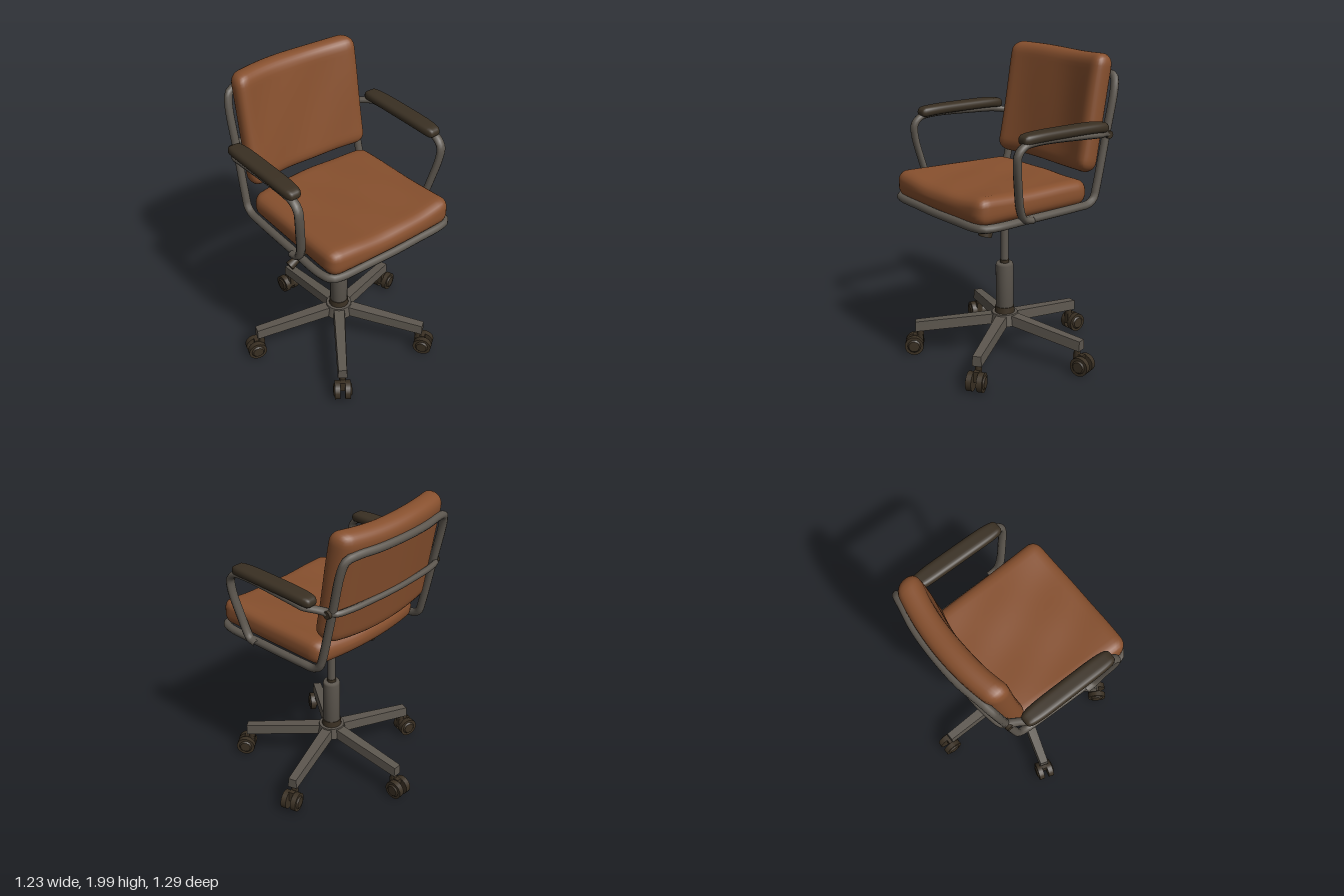
import * as THREE from 'three';
import { mergeVertices } from 'three/addons/utils/BufferGeometryUtils.js';

const mat = (name, color) => {
  const m = new THREE.MeshStandardMaterial({ color });
  m.name = name;
  return m;
};
const V = (x, y, z) => new THREE.Vector3(x, y, z);

export function createModel() {
  const leather = mat('brown leather', 0x87502e);
  const metal = mat('grey metal', 0x5c564e);
  const dark = mat('dark plastic', 0x3a3023);
  const chair = new THREE.Group();
  chair.name = 'officeChair';

  const add = (name, geo, material, parent = chair, x = 0, y = 0, z = 0) => {
    const m = new THREE.Mesh(geo, material);
    m.name = name;
    m.position.set(x, y, z);
    parent.add(m);
    return m;
  };

  // Move every vertex by a rule, then smooth the normals
  const bend = (geo, rule) => {
    geo.deleteAttribute('uv');
    geo.deleteAttribute('normal');
    const g = mergeVertices(geo, 1e-5);
    const p = g.attributes.position, v = V(0, 0, 0);
    for (let i = 0; i < p.count; i++) {
      v.fromBufferAttribute(p, i);
      rule(v);
      p.setXYZ(i, v.x, v.y, v.z);
    }
    g.computeVertexNormals();
    return g;
  };

  // Finely divided rounded box, shaped further by a rule
  const cushion = (w, h, d, r, seg, rule) =>
    bend(new THREE.BoxGeometry(w, h, d, ...seg), v => {
      const core = V(
        THREE.MathUtils.clamp(v.x, r - w / 2, w / 2 - r),
        THREE.MathUtils.clamp(v.y, r - h / 2, h / 2 - r),
        THREE.MathUtils.clamp(v.z, r - d / 2, d / 2 - r));
      v.sub(core).normalize().multiplyScalar(r).add(core);
      rule(v);
    });

  const curve = (pts, closed = false) => new THREE.CatmullRomCurve3(pts, closed, 'centripetal');

  // Rod between two points
  const rod = (name, a, b, ra, rb, material, sides = 16) => {
    const m = add(name, new THREE.CylinderGeometry(rb, ra, a.distanceTo(b), sides), material);
    m.position.copy(a).lerp(b, 0.5);
    m.quaternion.setFromUnitVectors(V(0, 1, 0), b.clone().sub(a).normalize());
    return m;
  };

  // Seat cushion: dips along the middle, rises to the front, bowed at the back
  add('seatCushion', cushion(0.84, 0.16, 0.92, 0.07, [30, 8, 30], v => {
    const t = v.x / 0.42, s = v.z / 0.46;
    if (v.y > 0) {
      v.y += 0.012 * t + 0.01 - 0.028 * (1 - s * s) * (0.6 + 0.4 * t);
      v.y += 0.004 * Math.sin(9 * v.x + 5 * v.z) * Math.sin(13 * v.z + 1);
    }
    if (t < 0) v.x += 0.05 * t * (1 - s * s);
    else v.x += 0.015 * t * (1 - s * s);
    v.z *= 1 + 0.02 * t;
  }), leather, chair, 0.155, 1.147, 0);

  // Back cushion: bowed to the rear and tilted
  const back = add('backCushion', cushion(0.155, 0.74, 0.89, 0.072, [8, 28, 32], v => {
    const s = v.z / 0.445;
    v.x += 0.03 - 0.06 * (1 - s * s);
    if (v.x > 0) v.x += 0.005 * Math.sin(14 * v.z + 3 * v.y) * Math.sin(6 * v.y + 1);
    v.y += 0.004 * Math.sin(8 * v.z);
  }), leather, chair, -0.365, 1.623, 0);
  back.rotation.z = THREE.MathUtils.degToRad(10);

  // One continuous frame around the back and under the seat
  const half = [
    [-0.515, 1.865, 0.2], [-0.485, 1.862, 0.36], [-0.47, 1.845, 0.43], [-0.452, 1.78, 0.452],
    [-0.39, 1.5, 0.456], [-0.315, 1.17, 0.46], [-0.295, 1.11, 0.462], [-0.25, 1.08, 0.464],
    [-0.15, 1.075, 0.468], [0.2, 1.072, 0.475], [0.48, 1.068, 0.475], [0.545, 1.066, 0.45],
    [0.565, 1.064, 0.39], [0.57, 1.062, 0.2],
  ];
  const loop = [V(-0.525, 1.866, 0), ...half.map(p => V(...p)), V(0.573, 1.06, 0),
    ...half.slice().reverse().map(([x, y, z]) => V(x, y, -z))];
  add('mainFrame', new THREE.TubeGeometry(curve(loop, true), 160, 0.026, 10, true), metal);

  // Bowed rail across the back
  const rail = [[-0.36, 0.475], [-0.41, 0.455], [-0.437, 0.36], [-0.452, 0.18]];
  add('backRail', new THREE.TubeGeometry(curve([
    ...rail.map(([x, z]) => V(x, 1.505, z)), V(-0.458, 1.505, 0),
    ...rail.slice().reverse().map(([x, z]) => V(x, 1.505, -z))]), 48, 0.02, 8), metal);

  // Arms: flat bars with padded tops
  const armPath = curve([[-0.39, 1.505], [-0.3, 1.525], [-0.1, 1.54], [0.24, 1.55], [0.325, 1.535],
    [0.368, 1.49], [0.37, 1.42], [0.345, 1.28], [0.31, 1.14], [0.28, 1.085], [0.22, 1.07]]
    .map(([x, y]) => V(x, y, 0)));
  for (const side of [1, -1]) {
    const arm = new THREE.Group();
    arm.name = side > 0 ? 'leftArm' : 'rightArm';
    chair.add(arm);
    add('armBar', bend(new THREE.TubeGeometry(armPath, 64, 0.022, 10), v => {
      const rear = THREE.MathUtils.smoothstep(-v.x, 0.24, 0.4);
      const out = 0.492 + 0.055 * THREE.MathUtils.smoothstep(v.y, 1.05, 1.5) - 0.08 * rear;
      v.z = v.z * 1.4 + side * out;
    }), metal, arm);
    add('armPad', cushion(0.65, 0.062, 0.116, 0.03, [28, 6, 10], v => {
      const t = v.x / 0.325;
      v.z *= 1 - 0.3 * Math.pow(Math.abs(t), 6);
      v.y -= 0.012 * Math.pow(Math.abs(t), 4);
    }), dark, arm, 0.01, 1.58, side * 0.532);
    const bolt = add('armBolt', new THREE.CylinderGeometry(0.025, 0.025, 0.06, 12), dark, arm,
      -0.385, 1.505, side * 0.47);
    bolt.rotation.x = Math.PI / 2;
  }

  // Tilt mechanism beneath the seat
  add('mountPlate', new THREE.BoxGeometry(0.38, 0.025, 0.32), dark, chair, 0.07, 1.045, 0);
  add('mechanismBowl', bend(new THREE.CylinderGeometry(0.15, 0.07, 0.1, 20), v => { v.z *= 0.9; }),
    dark, chair, 0.06, 0.985, 0);
  rod('tensionKnob', V(0.165, 1.02, 0), V(0.205, 0.84, 0), 0.035, 0.045, dark);
  rod('pivotStub', V(-0.06, 1.02, 0), V(-0.07, 0.91, 0), 0.03, 0.025, dark);
  rod('heightLever', V(0.045, 0.98, 0.05), V(0.045, 0.855, 0.29), 0.012, 0.012, dark);
  rod('leverHandle', V(0.045, 0.865, 0.27), V(0.045, 0.805, 0.395), 0.017, 0.032, dark);

  // Gas column, base at x = 0.05
  const cx = 0.05;
  add('pistonRod', new THREE.CylinderGeometry(0.026, 0.026, 0.4, 20), metal, chair, cx, 0.8, 0);
  add('pistonCollar', new THREE.CylinderGeometry(0.03, 0.03, 0.025, 20), dark, chair, cx, 0.64, 0);
  add('columnSleeve', new THREE.LatheGeometry([[0, 0.3], [0.058, 0.3], [0.058, 0.615], [0.052, 0.632], [0, 0.632]]
    .map(([r, y]) => new THREE.Vector2(r, y)), 28), metal, chair, cx, 0, 0);
  add('columnCollar', new THREE.CylinderGeometry(0.062, 0.066, 0.04, 24), dark, chair, cx, 0.31, 0);
  add('baseHub', new THREE.CylinderGeometry(0.085, 0.1, 0.075, 20), metal, chair, cx, 0.252, 0);

  // Five tapered legs with twin-wheel casters
  for (let i = 0; i < 5; i++) {
    const leg = new THREE.Group();
    leg.name = 'baseLeg' + (i + 1);
    leg.position.x = cx;
    leg.rotation.y = Math.PI + i * Math.PI * 2 / 5;
    chair.add(leg);
    const beam = new THREE.BoxGeometry(0.55, 0.066, 0.07);
    const p = beam.attributes.position;
    for (let k = 0; k < p.count; k++) {
      const outer = p.getX(k) > 0;
      p.setY(k, p.getY(k) + (outer ? -0.03 : 0.03));
      p.setZ(k, p.getZ(k) * (p.getY(k) > (outer ? -0.03 : 0.03) ? 0.85 : 1) * (outer ? 0.9 : 1.2));
    }
    beam.computeVertexNormals();
    add('legBeam', beam, metal, leg, 0.315, 0.222, 0);
    add('casterStem', new THREE.CylinderGeometry(0.022, 0.022, 0.09, 12), dark, leg, 0.56, 0.125, 0);
    add('casterHousing', new THREE.BoxGeometry(0.07, 0.07, 0.035), dark, leg, 0.575, 0.095, 0);
    for (const s of [1, -1]) {
      const wheel = add('casterWheel', new THREE.CylinderGeometry(0.062, 0.062, 0.036, 20), dark, leg,
        0.6, 0.063, s * 0.034);
      wheel.rotation.x = Math.PI / 2;
      const cap = add('wheelCap', new THREE.CylinderGeometry(0.035, 0.045, 0.01, 16), dark, leg,
        0.6, 0.063, s * 0.056);
      cap.rotation.x = s * Math.PI / 2;
    }
  }
  return chair;
}
